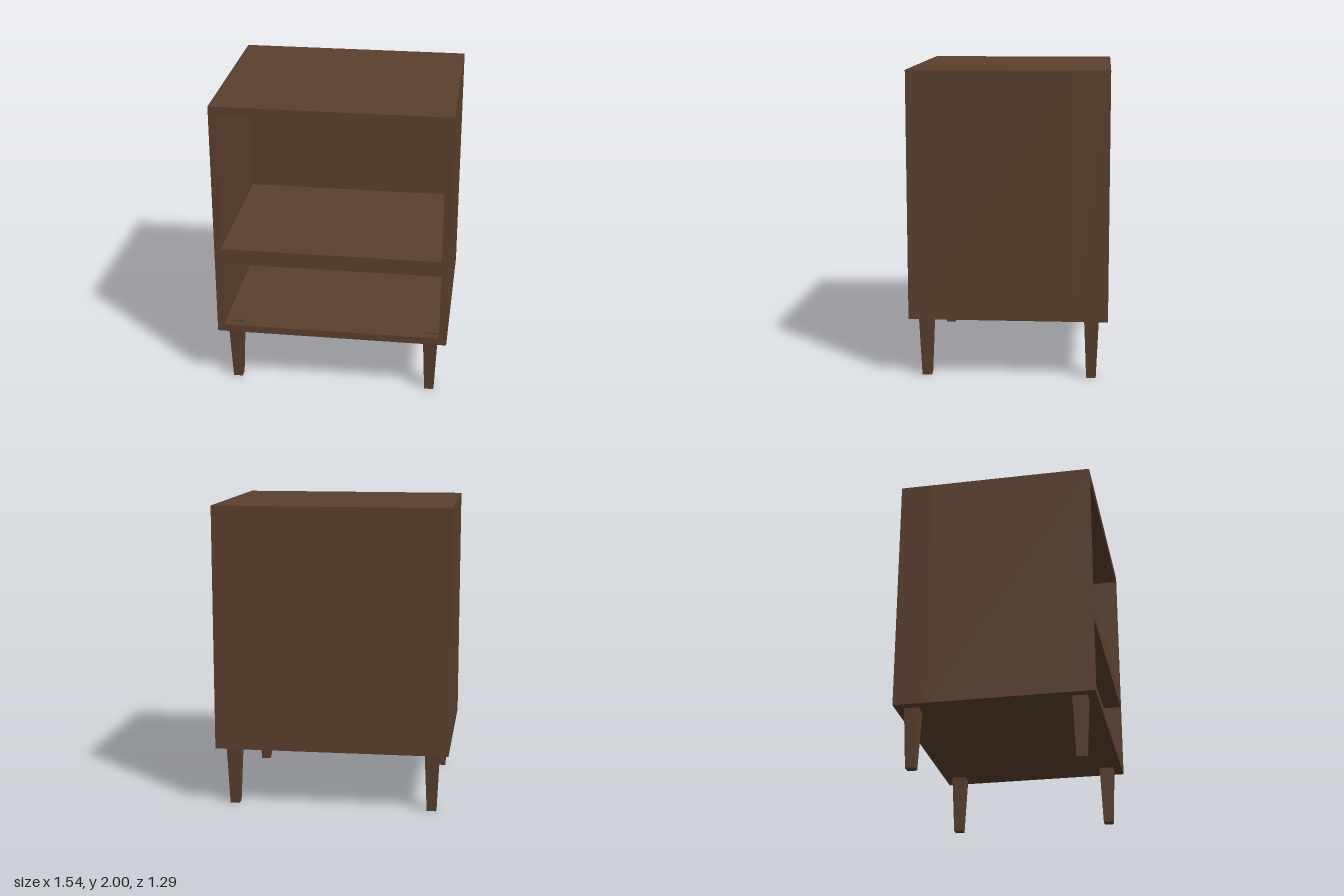
import * as THREE from 'three';

const wood = new THREE.MeshStandardMaterial({ color: 0x5b402d });
wood.name = 'dark walnut';

// Rectangle with slightly rounded corners, used for the openings
function roundedRect(x0, y0, x1, y1, r) {
  const p = new THREE.Path();
  p.moveTo(x0 + r, y0);
  p.lineTo(x1 - r, y0);
  p.quadraticCurveTo(x1, y0, x1, y0 + r);
  p.lineTo(x1, y1 - r);
  p.quadraticCurveTo(x1, y1, x1 - r, y1);
  p.lineTo(x0 + r, y1);
  p.quadraticCurveTo(x0, y1, x0, y1 - r);
  p.lineTo(x0, y0 + r);
  p.quadraticCurveTo(x0, y0, x0 + r, y0);
  return p;
}

export function createModel() {
  const group = new THREE.Group();
  group.name = 'nightstand';
  const add = (geometry, name, x, y, z) => {
    const mesh = new THREE.Mesh(geometry, wood);
    mesh.name = name;
    mesh.position.set(x, y, z);
    group.add(mesh);
  };

  const W = 0.77, bottom = 0.395, top = 2, front = 0.643, cavityBack = -0.43;

  // Cabinet body with an upper and a lower compartment
  const outline = new THREE.Shape();
  outline.moveTo(-W, bottom);
  outline.lineTo(W, bottom);
  outline.lineTo(W, top);
  outline.lineTo(-W, top);
  outline.closePath();
  outline.holes.push(
    roundedRect(-0.722, 1.01, 0.722, 1.948, 0.01),
    roundedRect(-0.722, 0.445, 0.722, 0.905, 0.01)
  );
  const body = new THREE.ExtrudeGeometry(outline, {
    depth: front - cavityBack, bevelEnabled: false, curveSegments: 4,
  });
  add(body, 'cabinetBody', 0, 0, cavityBack);

  // Thick back closing both compartments
  const backDepth = front + cavityBack;
  add(new THREE.BoxGeometry(2 * W, top - bottom, backDepth), 'cabinetBack',
    0, (top + bottom) / 2, cavityBack - backDepth / 2);

  // Square tapered legs, their tops just showing through the cabinet floor
  const legHeight = 0.452;
  const leg = new THREE.CylinderGeometry(0.05 * Math.SQRT2, 0.031 * Math.SQRT2, legHeight, 4, 1)
    .rotateY(Math.PI / 4).toNonIndexed();
  leg.computeVertexNormals();
  for (const [sx, side] of [[1, 'Left'], [-1, 'Right']]) {
    for (const [sz, end] of [[1, 'front'], [-1, 'back']]) {
      add(leg, `${end}${side}Leg`, sx * 0.66, legHeight / 2, sz * 0.537);
    }
  }
  return group;
}
